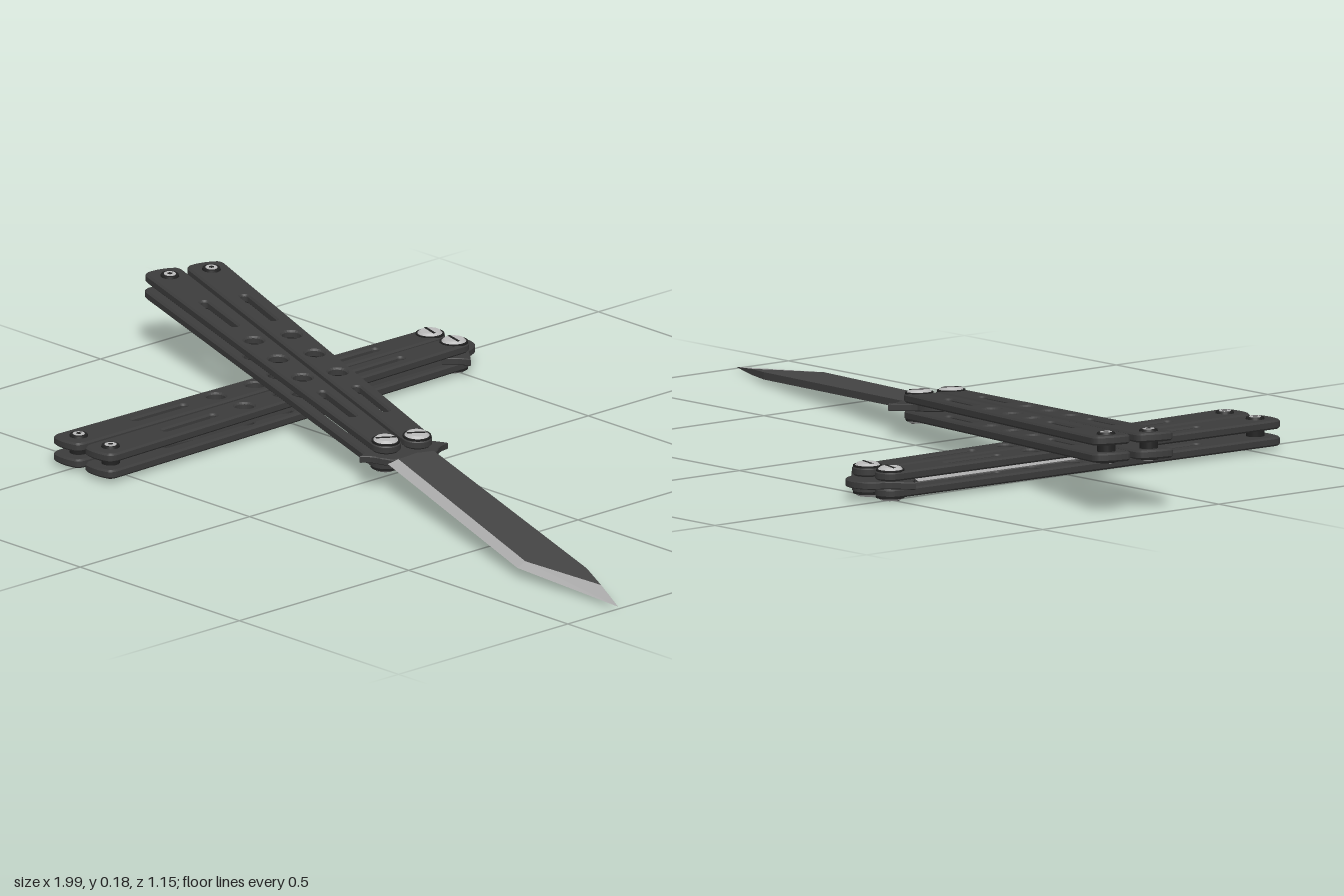
import * as THREE from 'three';

const mat = (color, side = THREE.FrontSide) =>
  new THREE.MeshStandardMaterial({ color, side });
const DARK = mat(0x3c3c3c);
const BLACK = mat(0x222222);
const STEEL = mat(0x444444, THREE.DoubleSide);
const BRIGHT = mat(0xaaaaaa, THREE.DoubleSide);
const SCREW = mat(0xbbbbbb);

function add(parent, name, geometry, material, x = 0, y = 0, z = 0) {
  const mesh = new THREE.Mesh(geometry, material);
  mesh.name = name;
  mesh.position.set(x, y, z);
  parent.add(mesh);
  return mesh;
}

// Flat plate lying in the xz plane, centred on y = 0
function plate(shape, thickness, bevel) {
  const geometry = new THREE.ExtrudeGeometry(shape, {
    depth: thickness - 2 * bevel, bevelEnabled: true, bevelSize: bevel,
    bevelThickness: bevel, bevelOffset: -bevel, bevelSegments: 1, curveSegments: 12,
  });
  geometry.translate(0, 0, bevel - thickness / 2);
  return geometry.rotateX(Math.PI / 2);
}

const disc = (r, h, top = r, sides = 24) => new THREE.CylinderGeometry(top, r, h, sides);

function roundHole(x, r) {
  return new THREE.Path().absarc(x, 0, r, 0, Math.PI * 2, true);
}

function slotHole(x0, x1, r) {
  const path = new THREE.Path();
  path.absarc(x1, 0, r, Math.PI / 2, -Math.PI / 2, true);
  path.absarc(x0, 0, r, -Math.PI / 2, -Math.PI * 1.5, true);
  path.closePath();
  return path;
}

// Tapered scale outline: pivot at the origin, butt towards -x
function scaleShape() {
  const s = new THREE.Shape();
  s.absarc(0, 0, 0.033, -Math.PI / 2, Math.PI / 2, false);
  s.lineTo(-1.045, 0.044);
  s.quadraticCurveTo(-1.065, 0.043, -1.067, 0.03);
  s.quadraticCurveTo(-1.075, 0, -1.067, -0.03);
  s.quadraticCurveTo(-1.065, -0.043, -1.045, -0.044);
  s.closePath();
  s.holes.push(slotHole(-0.3, -0.16, 0.009), slotHole(-0.86, -0.72, 0.009));
  for (const x of [-0.395, -0.51, -0.625]) s.holes.push(roundHole(x, 0.021));
  return s;
}

// One handle: two scales, a butt spacer, a pivot barrel and screws
function makeHandle() {
  const handle = new THREE.Group();
  const scale = plate(scaleShape(), 0.02, 0.004);
  add(handle, 'buttSpacer', disc(0.02, 0.03), BLACK, -1.025);
  add(handle, 'pivotBarrel', disc(0.022, 0.03), BLACK);
  for (const side of [1, -1]) {
    const half = new THREE.Group();
    half.name = side > 0 ? 'upperScale' : 'lowerScale';
    if (side < 0) half.rotation.x = Math.PI;
    add(half, 'scale', scale, DARK, 0, 0.0185, 0);
    add(half, 'pivotWasher', disc(0.031, 0.004), BLACK, 0, 0.029, 0);
    add(half, 'pivotScrew', disc(0.028, 0.006, 0.022), SCREW, 0, 0.033, 0);
    const groove = add(half, 'pivotScrewSlot', new THREE.BoxGeometry(0.044, 0.002, 0.006), BLACK, 0, 0.0358, 0);
    groove.rotation.y = 1.3;
    add(half, 'buttScrewCollar', disc(0.021, 0.006, 0.019), BLACK, -1.025, 0.03, 0);
    add(half, 'buttScrew', disc(0.013, 0.002), SCREW, -1.025, 0.0333, 0);
    add(half, 'buttScrewSocket', disc(0.006, 0.002, 0.006, 6), BLACK, -1.025, 0.0338, 0);
    handle.add(half);
  }
  return handle;
}

// Flat polygons (fans) joined into one faceted surface
function facets(polygons) {
  const positions = [];
  for (const p of polygons) {
    for (let i = 1; i < p.length - 1; i++) positions.push(...p[0], ...p[i], ...p[i + 1]);
  }
  const geometry = new THREE.BufferGeometry();
  geometry.setAttribute('position', new THREE.Float32BufferAttribute(positions, 3));
  geometry.computeVertexNormals();
  return geometry;
}

// Angular-point blade along +x with its cutting edge at +z
function makeBlade() {
  const blade = new THREE.Group();
  blade.name = 'blade';
  const flats = [], bevels = [], walls = [];
  const h = 0.008;
  const flat = (y) => [[0.03, y, -0.056], [0.06, y, 0.036], [0.69, y, 0.042],
    [0.87, y * 0.8, -0.051], [0.775, y, -0.063]];
  const heel = [0.06, 0, 0.061], corner = [0.7, 0, 0.066], tip = [0.982, 0, -0.037];
  for (const side of [1, -1]) {
    const [a, e, d, c, b] = flat(side * h);
    const turn = (p) => (side > 0 ? p : p.reverse());
    flats.push(turn([d, c, b, a, e]));
    bevels.push(turn([e, heel, corner, d]), turn([d, corner, tip, c]));
  }
  const [a, e, , c, b] = flat(h);
  const [a2, e2, , c2, b2] = flat(-h);
  walls.push([a, b, b2, a2], [b, c, c2, b2], [c, tip, c2], [e, a, a2, e2], [e, e2, heel]);
  add(blade, 'bladeBody', facets([...flats, ...walls]), STEEL);
  add(blade, 'cuttingBevel', facets(bevels), BRIGHT);

  // Tang: rounded behind the pivots, with a pointed guard on each side
  const t = new THREE.Shape();
  t.moveTo(0.06, -0.05);
  t.lineTo(0.04, -0.07);
  t.quadraticCurveTo(0.022, -0.08, 0.014, -0.106);
  t.quadraticCurveTo(-0.004, -0.085, -0.02, -0.066);
  t.lineTo(-0.03, -0.056);
  t.quadraticCurveTo(-0.075, -0.045, -0.076, 0);
  t.quadraticCurveTo(-0.075, 0.045, -0.03, 0.056);
  t.lineTo(-0.02, 0.066);
  t.quadraticCurveTo(-0.004, 0.085, 0.014, 0.106);
  t.quadraticCurveTo(0.022, 0.08, 0.04, 0.07);
  t.lineTo(0.06, 0.05);
  t.closePath();
  add(blade, 'tangAndGuard', plate(t, 0.016, 0.002), DARK);
  return blade;
}

function makeKnife(name, open) {
  const knife = new THREE.Group();
  knife.name = name;
  for (const side of [1, -1]) {
    const handle = makeHandle();
    handle.name = side > 0 ? 'firstHandle' : 'secondHandle';
    handle.position.z = side * 0.0375;
    handle.rotation.y = side * 0.0122;
    knife.add(handle);
  }
  const blade = makeBlade();
  if (!open) blade.rotation.y = Math.PI;
  knife.add(blade);
  return knife;
}

export function createModel() {
  const model = new THREE.Group();
  model.name = 'crossedFoldingKnives';

  const closed = makeKnife('closedKnife', false);
  closed.position.set(-0.46, 0.038, -0.5);
  closed.rotation.y = Math.PI / 2;
  model.add(closed);

  // Open knife leans across the closed one with its tip on the ground
  const open = makeKnife('openKnife', true);
  open.position.set(0.05, 0.072, 0.1);
  open.rotation.set(0, -0.295, -0.068, 'YXZ');
  model.add(open);
  return model;
}
